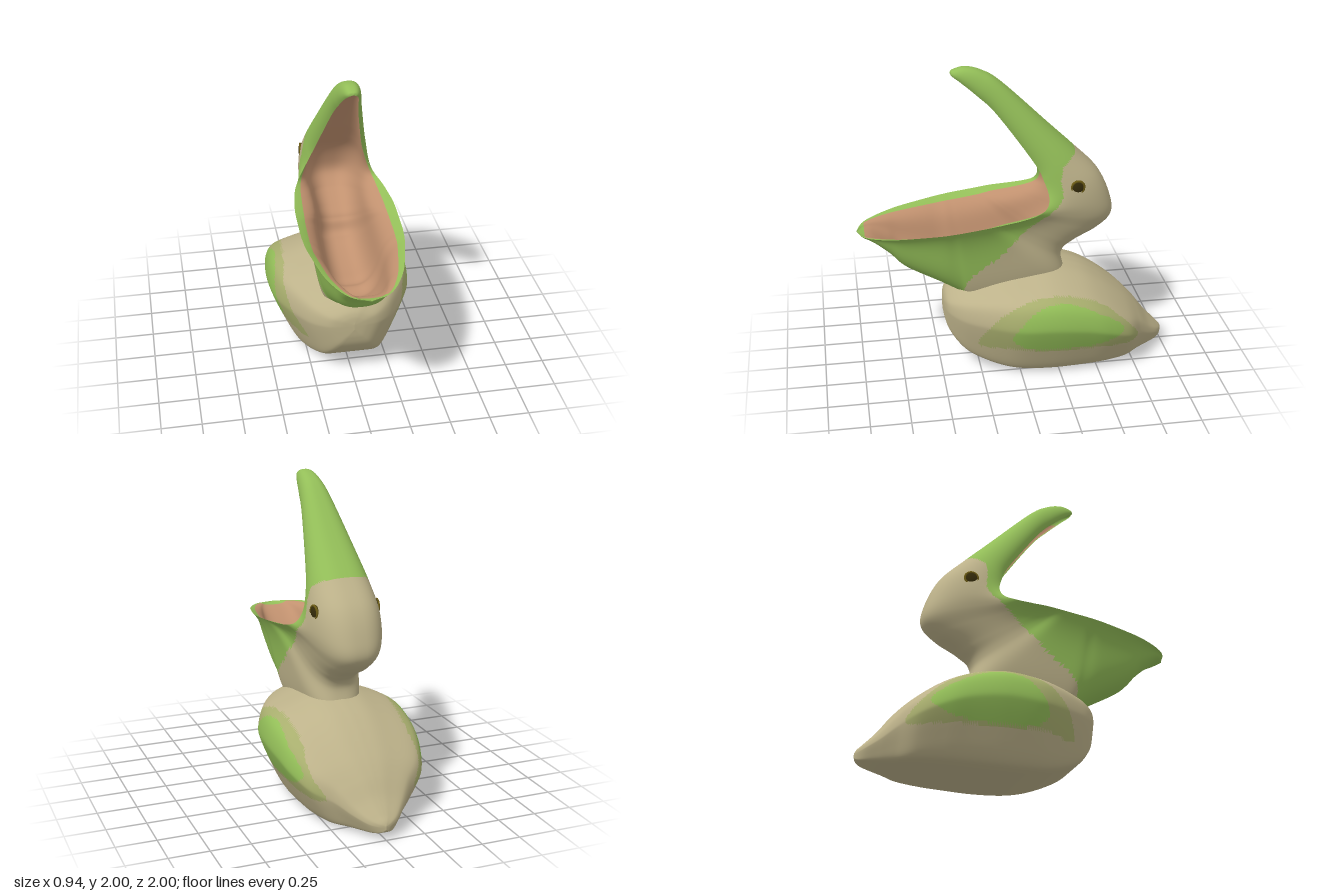
import * as THREE from 'three';
import { mergeVertices } from 'three/addons/utils/BufferGeometryUtils.js';

const mat = (name, color) => Object.assign(new THREE.MeshStandardMaterial({ color }), { name });
const V = (x, y, z) => new THREE.Vector3(x, y, z);
const spline = (pts) => new THREE.CatmullRomCurve3(pts, false, 'catmullrom', 0.5);

// Smooth surface over a rows x cols grid; paint(x, y, z, v) picks the material index of each triangle
function surface(rows, cols, point, paint, materials, flip) {
  const pos = [];
  for (let i = 0; i <= rows; i++)
    for (let j = 0; j <= cols; j++) pos.push(...point(i / rows, j / cols));
  const buckets = materials.map(() => []);
  const add = (a, b, c, v) => {
    const mid = [0, 1, 2].map((k) => (pos[a * 3 + k] + pos[b * 3 + k] + pos[c * 3 + k]) / 3);
    buckets[paint(...mid, v)].push(...(flip ? [a, c, b] : [a, b, c]));
  };
  for (let i = 0; i < rows; i++)
    for (let j = 0; j < cols; j++) {
      const a = i * (cols + 1) + j, c = a + cols + 1, v = (j + 0.5) / cols;
      add(a, a + 1, c, v);
      add(a + 1, c + 1, c, v);
    }
  let geo = new THREE.BufferGeometry();
  geo.setAttribute('position', new THREE.Float32BufferAttribute(pos, 3));
  geo.setIndex(buckets.flat());
  let start = 0;
  buckets.forEach((b, k) => { geo.addGroup(start, b.length, k); start += b.length; });
  geo = mergeVertices(geo, 1e-5);
  geo.computeVertexNormals();
  return new THREE.Mesh(geo, materials);
}

// Linear lookup in a list of [key, value] pairs
function lookup(table, key) {
  for (let i = 1; i < table.length; i++) {
    const [k0, v0] = table[i - 1], [k1, v1] = table[i];
    if (key <= k1) return v0 + (v1 - v0) * Math.max(0, (key - k0) / (k1 - k0));
  }
  return table[table.length - 1][1];
}

// Point in polygon test in the side plane
function inside(poly, z, y) {
  let hit = false;
  poly.forEach(([z0, y0], i) => {
    const [z1, y1] = poly[(i + 1) % poly.length];
    if (y0 > y !== y1 > y && z < z0 + ((z1 - z0) * (y - y0)) / (y1 - y0)) hit = !hit;
  });
  return hit;
}

const smoothOutline = (pts) =>
  new THREE.CatmullRomCurve3(pts.map(([z, y]) => V(z, y, 0)), true).getPoints(60).map((p) => [p.x, p.y]);

export function createModel() {
  const group = new THREE.Group();
  const tan = mat('tan feathers', 0xbdb28a);
  const green = mat('green', 0x93be58);
  const paleGreen = mat('pale wing green', 0xa8ae6e);
  const pink = mat('mouth pink', 0xc1916f);
  const dark = mat('dark eye', 0x352c0a);
  const gold = mat('eye gold', 0x6a5a14);
  const add = (mesh, name) => { mesh.name = name; group.add(mesh); return mesh; };

  // Body stations along z: [z, half width, bottom, top]
  const stations = [
    [0.475, 0, 0.39, 0.43], [0.465, 0.09, 0.32, 0.485], [0.44, 0.165, 0.25, 0.525], [0.38, 0.24, 0.165, 0.57],
    [0.3, 0.3, 0.1, 0.605], [0.15, 0.385, 0.04, 0.645], [0, 0.445, 0.012, 0.665], [-0.2, 0.468, 0.004, 0.675],
    [-0.4, 0.458, 0.008, 0.628], [-0.55, 0.432, 0.012, 0.55], [-0.7, 0.365, 0.018, 0.435],
    [-0.8, 0.25, 0.024, 0.335], [-0.88, 0.17, 0.03, 0.23], [-0.95, 0.1, 0.038, 0.155],
    [-0.985, 0.045, 0.05, 0.12], [-1, 0, 0.07, 0.095],
  ];
  const bodySides = spline(stations.map(([z, w]) => V(w, 0, z)));
  const bodyHeights = spline(stations.map(([, , b, t]) => V(b, t, 0)));
  // Half section: flat belly, bulging wing, sloping back
  const half = spline([
    [0, 0], [0.35, 0], [0.56, 0.008], [0.69, 0.07], [0.84, 0.28], [0.97, 0.5], [1, 0.61],
    [0.94, 0.765], [0.8, 0.85], [0.5, 0.93], [0.25, 0.985], [0, 1],
  ].map(([x, y]) => V(x, y, 0)));
  const wing = smoothOutline([[0.07, 0.32], [0, 0.45], [-0.1, 0.53], [-0.25, 0.55], [-0.45, 0.48],
    [-0.65, 0.33], [-0.52, 0.25], [-0.25, 0.225], [0, 0.25]]);
  const wingEdge = smoothOutline([[0.27, 0.22], [0.2, 0.4], [0.07, 0.52], [-0.1, 0.575], [-0.3, 0.57],
    [-0.55, 0.47], [-0.77, 0.21], [-0.5, 0.21], [-0.2, 0.215], [0.1, 0.23]]);
  add(surface(200, 112, (u, v) => {
    const s = bodySides.getPoint(u), h = bodyHeights.getPoint(u);
    const p = half.getPoint(1 - Math.abs(2 * v - 1));
    const x = Math.max(0, s.x) * Math.max(0, p.x) * (v < 0.5 ? 1 : -1);
    return [x, h.x + (h.y - h.x) * p.y, s.z];
  }, (x, y, z) => {
    if (Math.abs(x) < 0.2) return 0;
    return inside(wing, z, y) ? 1 : inside(wingEdge, z, y) ? 2 : 0;
  }, [tan, green, paleGreen], true), 'body');

  // Head, beak, neck and pouch: U-shaped sections fanned from the upper tip round to the lower tip
  // [rim z, rim y, spine z, spine y, half width at rim, half width behind rim]
  const fan = [
    [0.392, 1.965, 0.392, 1.97, 0, 0], [0.38, 1.95, 0.375, 1.984, 0.026, 0.034],
    [0.33, 1.912, 0.3, 1.999, 0.043, 0.06], [0.24, 1.835, 0.2, 1.972, 0.06, 0.083],
    [0.12, 1.715, 0.075, 1.888, 0.083, 0.11], [-0.1, 1.41, -0.22, 1.6, 0.145, 0.178],
    [-0.16, 1.29, -0.38, 1.445, 0.18, 0.208], [-0.185, 1.2, -0.53, 1.29, 0.215, 0.226],
    [-0.165, 1.14, -0.605, 1.13, 0.25, 0.23], [-0.1, 1.11, -0.62, 1.0, 0.28, 0.22],
    [0, 1.092, -0.53, 0.905, 0.3, 0.205], [0.1, 1.08, -0.38, 0.82, 0.312, 0.2],
    [0.17, 1.07, -0.3, 0.735, 0.315, 0.203], [0.24, 1.06, -0.29, 0.5, 0.315, 0.215],
    [0.36, 1.044, 0.2, 0.4, 0.314, 0.22], [0.42, 1.036, 0.36, 0.51, 0.31, 0.222],
    [0.5, 1.025, 0.48, 0.587, 0.3, 0.222], [0.7, 1.0, 0.7, 0.715, 0.255, 0.19],
    [0.8, 0.986, 0.8, 0.82, 0.22, 0.17], [0.9, 0.972, 0.9, 0.908, 0.165, 0.135],
    [0.965, 0.963, 0.965, 0.94, 0.1, 0.085], [1, 0.958, 1, 0.953, 0, 0],
  ];
  const rim = spline(fan.map(([z, y, , , w]) => V(w, y, z)));
  const spine = spline(fan.map(([, , z, y, , m]) => V(m, y, z)));
  // How far the lining sinks towards the spine along the fan
  const liningDepth = [[0, 0.5], [0.24, 0.52], [0.33, 0.6], [0.48, 0.75], [0.57, 0.75], [0.62, 0.6],
    [0.667, 0.62], [0.714, 0.74], [0.762, 0.88], [0.85, 0.8], [1, 0.6]];
  // Section angle, with columns crowded at the rims, and depth from rim (0) to spine (1)
  const angle = (v) => (Math.PI / 2) * Math.sin((Math.PI / 2) * Math.abs(2 * v - 1));
  const sink = (v) => Math.pow(Math.max(0, Math.cos(angle(v))), 0.75);
  const section = (lining) => (u, v) => {
    const r = rim.getPoint(u), s = spine.getPoint(u);
    const c = sink(v), w = Math.max(0, r.x), m = Math.max(0, s.x) * (lining ? 0.8 : 1);
    const x = m * Math.pow(Math.sin(angle(v)), 0.75) + (w - m) * Math.pow(1 - c, lining ? 6 : 5);
    const k = c * (lining ? lookup(liningDepth, u) : 1);
    return [x * Math.sign(v - 0.5), r.y + (s.y - r.y) * k, r.z + (s.z - r.z) * k];
  };
  // Border between green beak and tan head: [y, z]
  const beakEdge = [[0.55, 0.35], [0.64, 0.33], [0.7, 0.28], [0.8, 0.14], [0.9, 0.04], [1, -0.06],
    [1.08, -0.16], [1.14, -0.24], [1.2, -0.275], [1.3, -0.26], [1.38, -0.27], [1.45, -0.37], [1.6, -0.6]];
  add(surface(260, 64, section(false), (x, y, z) => (z > lookup(beakEdge, y) ? 1 : 0),
    [tan, green], false), 'headNeckAndBeak');
  // Pink lining with a green lip and green tips
  add(surface(200, 64, section(true),
    (x, y, z, v) => (sink(v) < 0.085 || y > 1.89 || z > 0.95 ? 1 : 0), [pink, green], true), 'mouthLining');

  // Eyes
  for (const side of [1, -1]) {
    const eye = add(new THREE.Group(), side > 0 ? 'leftEye' : 'rightEye');
    eye.position.set(side * 0.2, 1.25, -0.365);
    eye.rotation.y = side * 0.12;
    const ball = new THREE.Mesh(new THREE.SphereGeometry(0.047, 24, 16), dark);
    ball.scale.x = 0.36;
    ball.name = 'eyeball';
    const ring = new THREE.Mesh(new THREE.TorusGeometry(0.041, 0.008, 8, 28), gold);
    ring.rotation.y = Math.PI / 2;
    ring.position.x = side * 0.005;
    ring.name = 'eyeRing';
    eye.add(ball, ring);
  }
  return group;
}
